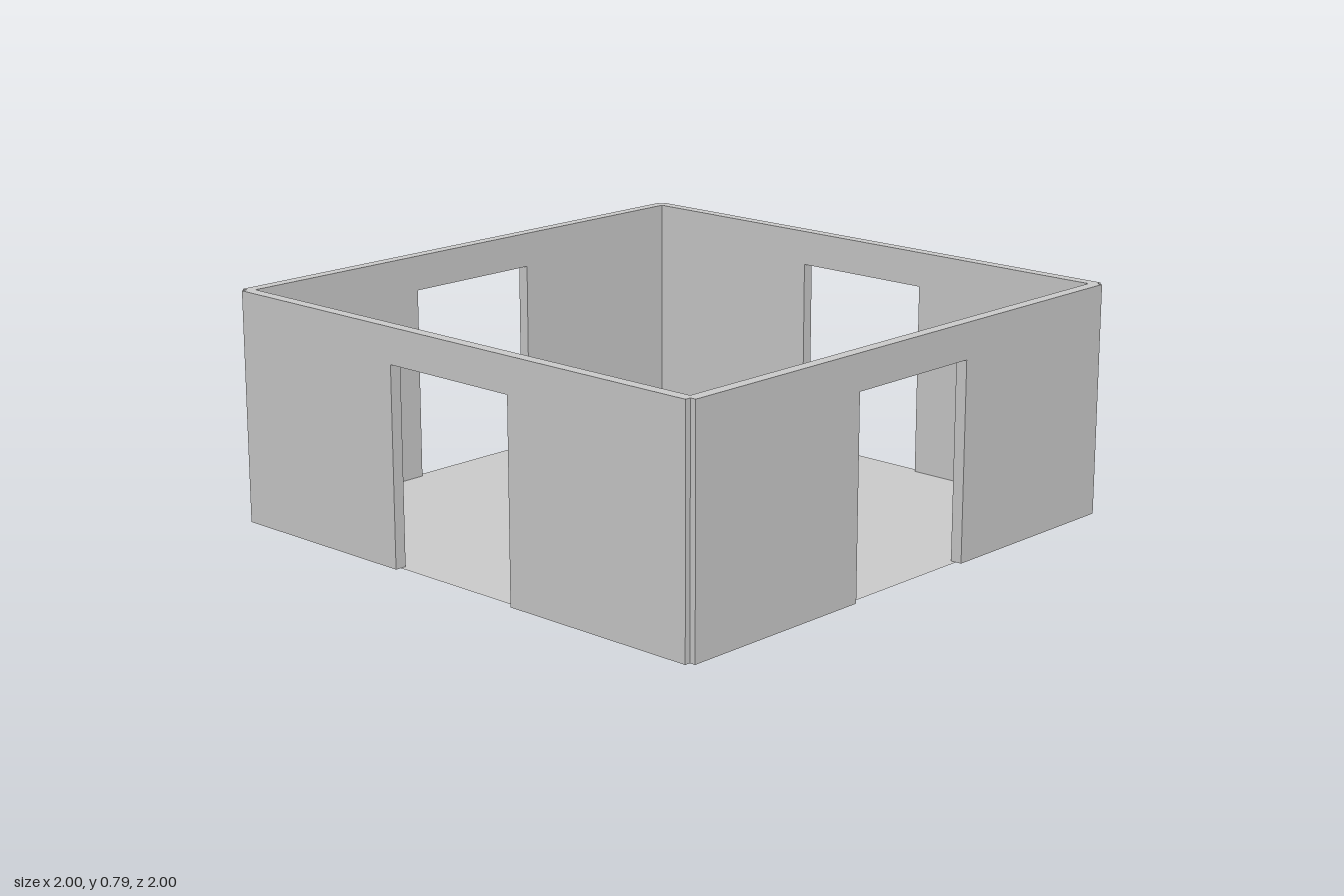
import * as THREE from 'three';

const HEIGHT = 0.785, HALF = 0.98, THICK = 0.04;
const DOOR_HALF = 0.26, DOOR_HEIGHT = 0.665;

// Wall outline with a doorway cut up from the ground
function wallGeometry() {
  const shape = new THREE.Shape([
    [-HALF, 0], [-DOOR_HALF, 0], [-DOOR_HALF, DOOR_HEIGHT], [DOOR_HALF, DOOR_HEIGHT],
    [DOOR_HALF, 0], [HALF, 0], [HALF, HEIGHT], [-HALF, HEIGHT],
  ].map(([x, y]) => new THREE.Vector2(x, y)));
  const geometry = new THREE.ExtrudeGeometry(shape, { depth: THICK, bevelEnabled: false });
  return geometry.translate(0, 0, HALF - THICK / 2);
}

export function createModel() {
  const room = new THREE.Group();
  room.name = 'room';
  const material = new THREE.MeshStandardMaterial({ color: 0xcccccc });
  const floorMaterial = new THREE.MeshStandardMaterial({ color: 0xcccccc, side: THREE.DoubleSide });

  // Four identical walls, each turned a quarter about the centre
  const geometry = wallGeometry();
  ['frontWall', 'leftWall', 'backWall', 'rightWall'].forEach((name, i) => {
    const wall = new THREE.Mesh(geometry, material);
    wall.name = name;
    wall.rotation.y = i * Math.PI / 2;
    room.add(wall);
  });

  // Thin floor reaching the middle of the walls
  const floor = new THREE.Mesh(new THREE.PlaneGeometry(HALF * 2, HALF * 2), floorMaterial);
  floor.name = 'floor';
  floor.rotation.x = -Math.PI / 2;
  room.add(floor);

  return room;
}
